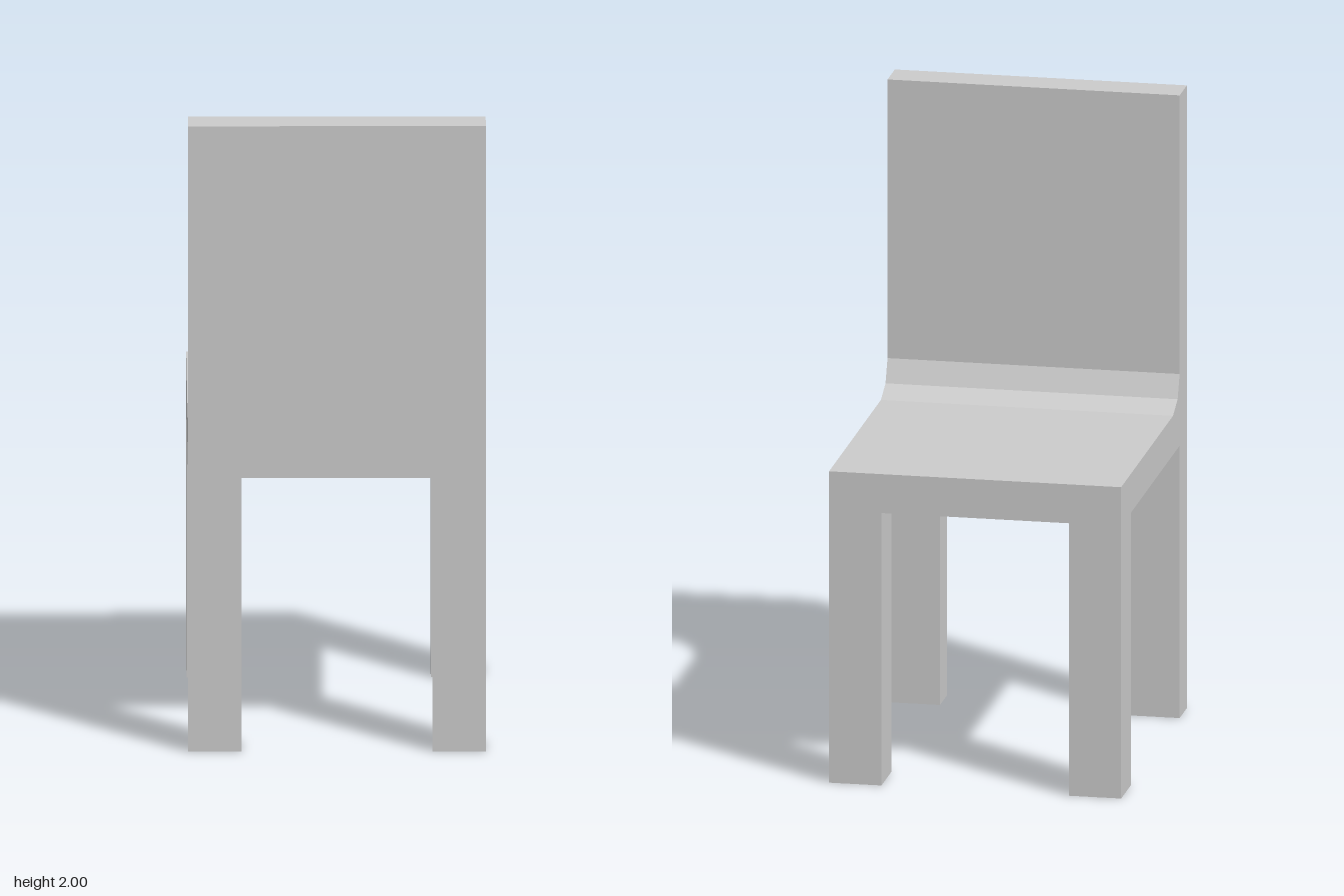
import * as THREE from 'three';

const WIDTH = 0.92, HALF_DEPTH = 0.52;
const SEAT_BOTTOM = 0.875, SEAT_TOP = 1, BACK_FACE = 0.405;
const LEG_WIDTH = 0.165;

export function createModel() {
  const chair = new THREE.Group();
  chair.name = 'chair';
  const material = new THREE.MeshStandardMaterial({ color: 0xcccccc, flatShading: true });

  // Seat and backrest: one side profile (z, y) with a faceted fillet, extruded across the width
  const profile = new THREE.Shape([
    [-HALF_DEPTH, SEAT_BOTTOM], [HALF_DEPTH, SEAT_BOTTOM],
    [HALF_DEPTH, 2], [BACK_FACE, 2],
    [BACK_FACE, 1.105], [0.373, 1.033], [0.3, SEAT_TOP],
    [-HALF_DEPTH, SEAT_TOP],
  ].map(([z, y]) => new THREE.Vector2(z, y)));
  const body = new THREE.ExtrudeGeometry(profile, { depth: WIDTH, bevelEnabled: false });
  body.translate(0, 0, -WIDTH / 2).rotateY(-Math.PI / 2);
  const seat = new THREE.Mesh(body, material);
  seat.name = 'seatAndBackrest';
  chair.add(seat);

  // Legs: one pair flush below the backrest, a deeper pair at the seat's free edge
  const pairs = [
    { name: 'backrestLeg', z0: BACK_FACE, z1: HALF_DEPTH },
    { name: 'seatEdgeLeg', z0: -HALF_DEPTH, z1: -0.365 },
  ];
  for (const { name, z0, z1 } of pairs) {
    for (const side of [1, -1]) {
      const leg = new THREE.Mesh(new THREE.BoxGeometry(LEG_WIDTH, SEAT_BOTTOM, z1 - z0), material);
      leg.position.set(side * (WIDTH - LEG_WIDTH) / 2, SEAT_BOTTOM / 2, (z0 + z1) / 2);
      leg.name = name + (side > 0 ? 'Left' : 'Right');
      chair.add(leg);
    }
  }
  return chair;
}
